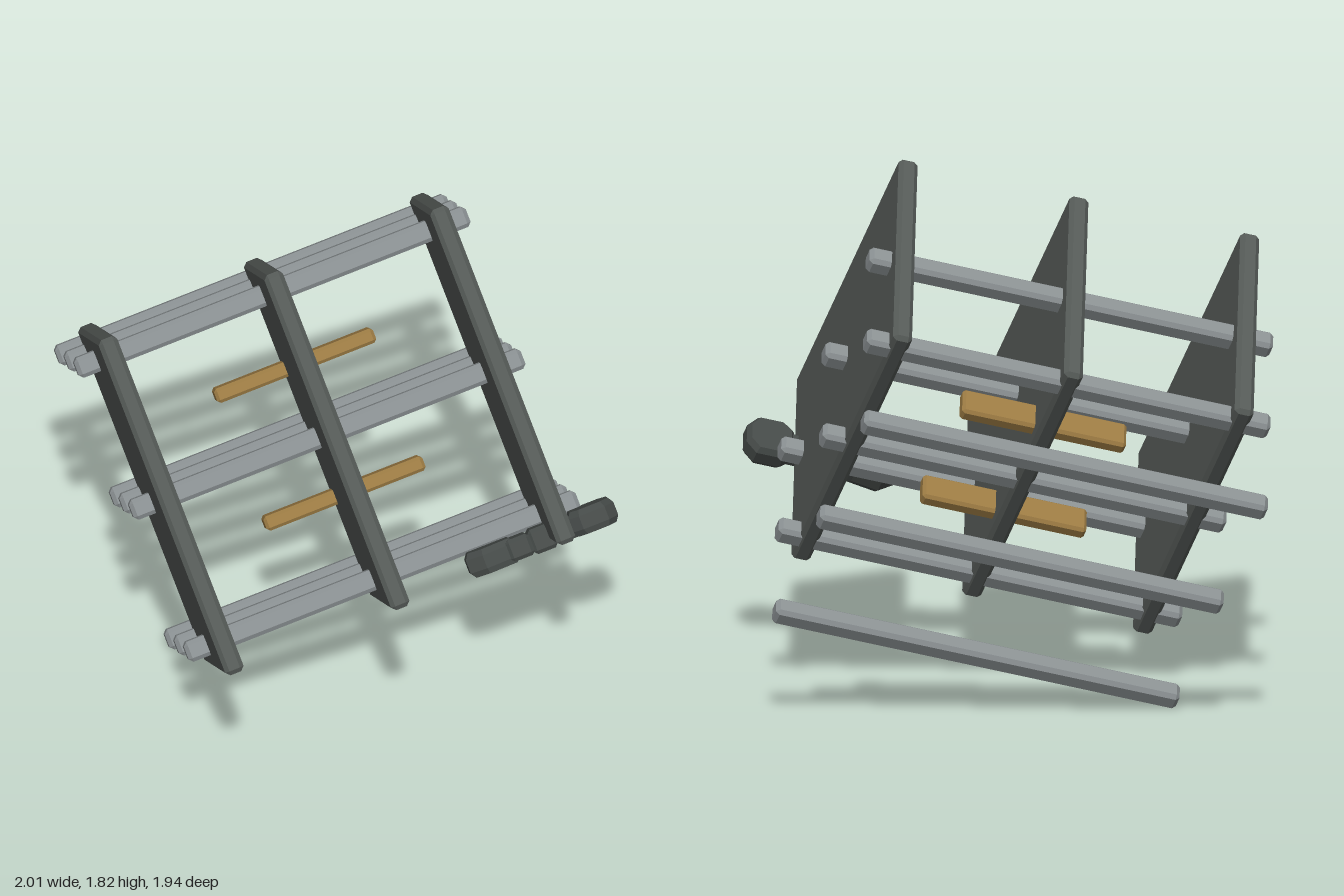
import * as THREE from 'three';
import { ConvexGeometry } from 'three/addons/geometries/ConvexGeometry.js';

const material = (name, color) => {
  const m = new THREE.MeshStandardMaterial({ color });
  m.name = name;
  return m;
};

// Box with every edge and corner cut by c
function chamferBox(w, h, d, c) {
  const pts = [];
  for (const x of [-1, 1]) for (const y of [-1, 1]) for (const z of [-1, 1]) {
    pts.push(new THREE.Vector3(x * w / 2, y * (h / 2 - c), z * (d / 2 - c)));
    pts.push(new THREE.Vector3(x * (w / 2 - c), y * h / 2, z * (d / 2 - c)));
    pts.push(new THREE.Vector3(x * (w / 2 - c), y * (h / 2 - c), z * d / 2));
  }
  return new ConvexGeometry(pts);
}

// Flat block with an outline in x and z, its upper and lower faces drawn in by c
function flatBlock(outline, h, c) {
  const pts = [];
  for (const [x, z] of outline) for (const s of [-1, 1]) {
    pts.push(new THREE.Vector3(x, s * (h / 2 - c), z));
    pts.push(new THREE.Vector3(x * (1 - c * 8), s * h / 2, z * (1 - c * 8)));
  }
  return new ConvexGeometry(pts);
}

export function createModel() {
  const panelGrey = material('panel grey', 0x555a57);
  const rodGrey = material('rod grey', 0x8a9092);
  const wood = material('wood brown', 0x9c7b43);
  const dark = material('dark grey', 0x454a48);

  const model = new THREE.Group();
  const frame = new THREE.Group();
  frame.name = 'tiltedFrame';
  model.add(frame);

  const add = (name, geometry, mat, x, y, z) => {
    const mesh = new THREE.Mesh(geometry, mat);
    mesh.name = name;
    mesh.position.set(x, y, z);
    frame.add(mesh);
    return mesh;
  };

  // Three parallel panels
  const panel = chamferBox(0.065, 1.18, 0.78, 0.014);
  for (const i of [-1, 0, 1]) add('panel', panel, panelGrey, i * 0.584, 0, 0);

  // Nine rods, three rows of three, the last row clear of the panels
  const rod = chamferBox(1.38, 0.07, 0.07, 0.013);
  for (const y of [-0.5, 0, 0.5])
    for (const z of [0, -0.35, -0.7]) add('rod', rod, rodGrey, 0, y, z);

  // Two wooden planks through the middle panel
  const plank = chamferBox(0.56, 0.05, 0.1, 0.01);
  for (const s of [-1, 1]) add('plank', plank, wood, 0, s * 0.225, -0.29);

  // Dark fitting across the lower edge of the end panel
  const head = [[-0.08, -0.045], [-0.045, -0.075], [0.045, -0.075], [0.08, -0.035],
    [0.08, 0.035], [0.045, 0.075], [-0.045, 0.075], [-0.08, 0.045]];
  const nose = [[-0.085, -0.03], [-0.03, -0.07], [0.085, -0.05],
    [0.085, 0.05], [-0.03, 0.07], [-0.085, 0.03]];
  add('fittingHead', flatBlock(head, 0.085, 0.02), dark, 0.71, -0.565, 0.07);
  add('fittingNose', flatBlock(nose, 0.085, 0.02), dark, 0.355, -0.57, 0.06);
  for (let i = 0; i < 3; i++)
    add('fittingStep', chamferBox(0.085, 0.075 + 0.01 * (i % 2), 0.12 - 0.015 * i, 0.012),
      dark, 0.45 + i * 0.08, -0.57, 0.065);

  // Tilt of the whole assembly
  const X = new THREE.Vector3(0.804, 0.253, -0.538).normalize();
  const Z = new THREE.Vector3(0.335, 0.555, 0.761);
  const Y = Z.clone().cross(X).normalize();
  Z.crossVectors(X, Y);
  frame.quaternion.setFromRotationMatrix(new THREE.Matrix4().makeBasis(X, Y, Z));
  frame.position.set(0.055, 1.0, 0.135);
  return model;
}
